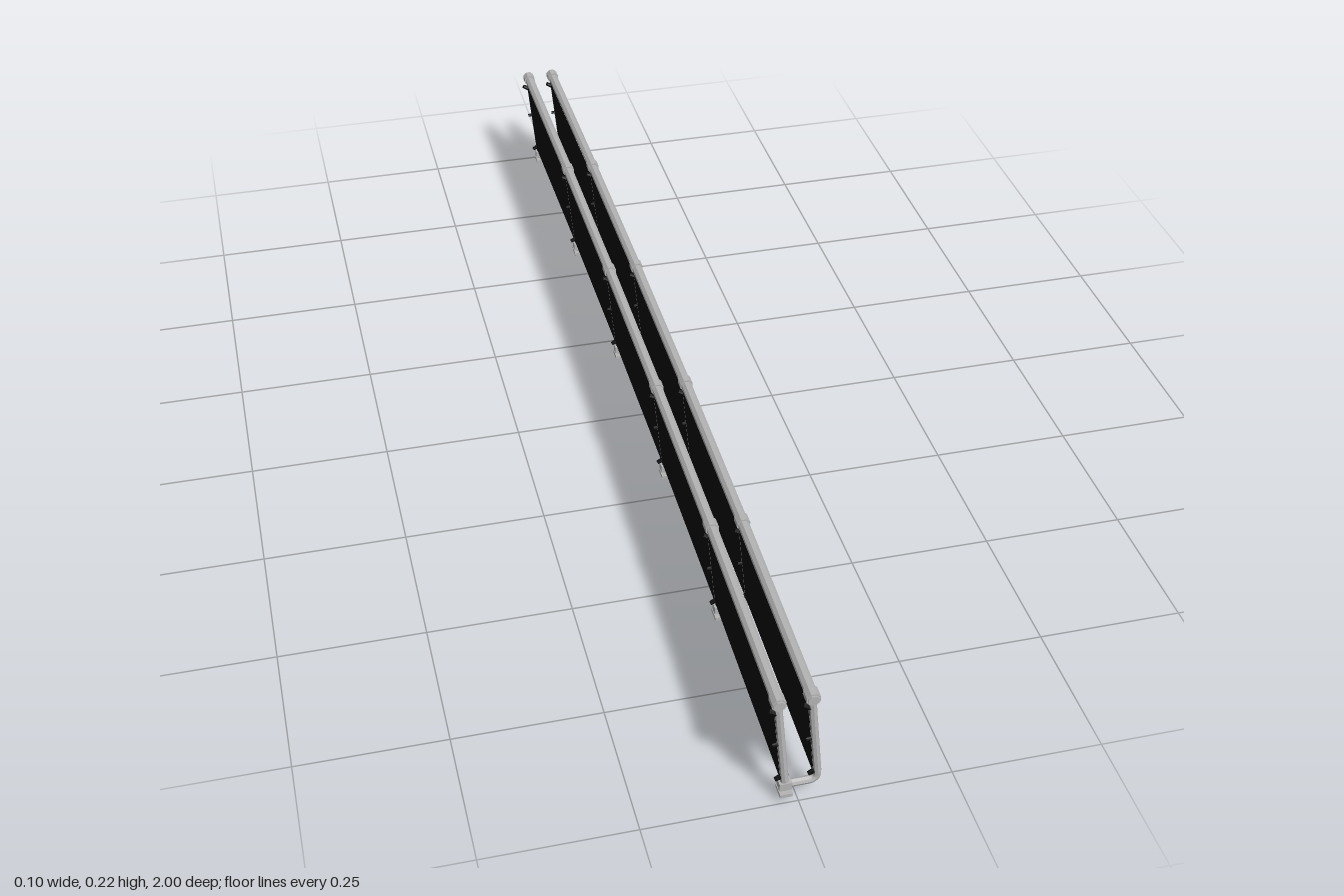
import * as THREE from 'three';

const steel = new THREE.MeshStandardMaterial({ color: 0xb4b4b4, flatShading: true });
steel.name = 'brushed steel';
const dark = new THREE.MeshStandardMaterial({ color: 0x0a0a0a, side: THREE.DoubleSide, flatShading: true });
dark.name = 'black panel';

const STATIONS = [1, 0.59, 0.196, -0.196, -0.59, -1];
const RAIL_Y = 0.211;
const SIDES = { left: 0.015, right: -0.038 }; // x of each rail at the front end

// gentle sideways bow and the sloping floor line along the length
const bow = z => 0.002 * (1 - z) + 0.008 * (1 - z * z);
const floorY = z => 0.023 + 0.006 * z;
const postX = (side, y, z) => side + bow(z) + 0.1 * (RAIL_Y - y);

function add(group, name, geometry, material, x = 0, y = 0, z = 0) {
  const mesh = new THREE.Mesh(geometry, material);
  mesh.name = name;
  mesh.position.set(x, y, z);
  group.add(mesh);
  return mesh;
}

// octagonal bar lying along z
const octagon = (w, h, length, segments = 1) =>
  new THREE.CylinderGeometry(0.541, 0.541, length, 8, segments)
    .rotateY(Math.PI / 8).rotateX(Math.PI / 2).scale(w, h, 1);

// handrail bent so that it meets every post
function railGeometry(side) {
  const g = octagon(0.018, 0.017, 2, 5);
  const p = g.attributes.position;
  for (let i = 0; i < p.count; i++) {
    const z = STATIONS[Math.round((1 - p.getZ(i)) / 0.4)];
    p.setXYZ(i, p.getX(i) + side + bow(z), p.getY(i) + RAIL_Y, z);
  }
  g.computeVertexNormals();
  return g;
}

// thin infill sheet fixed to the -x face of the posts
function panelGeometry(side) {
  const g = new THREE.PlaneGeometry(2, 1, 5, 1);
  const p = g.attributes.position;
  for (let i = 0; i < p.count; i++) {
    const z = STATIONS[Math.round((p.getX(i) + 1) / 0.4)] * 0.99;
    const y = p.getY(i) > 0 ? 0.196 : floorY(z) + 0.013;
    p.setXYZ(i, postX(side, y, z) - 0.0065, y, z);
  }
  g.computeVertexNormals();
  return g;
}

// U-shaped bracket: two leaning posts, a bent lower arm and a foot
function bracket(z) {
  const group = new THREE.Group();
  group.name = 'postBracket';
  const base = floorY(z);
  const at = (side, y) => new THREE.Vector3(postX(side, y, z), y, z);
  const { left, right } = SIDES;
  const corner = at(left, base);
  const bendTop = at(left, base + 0.016);
  const bendEnd = corner.clone().setX(corner.x - 0.016);
  const foot = at(right, base);

  const path = new THREE.CurvePath();
  path.add(new THREE.LineCurve3(at(left, RAIL_Y), bendTop));
  path.add(new THREE.QuadraticBezierCurve3(bendTop, corner, bendEnd));
  path.add(new THREE.LineCurve3(bendEnd, foot));
  add(group, 'leftPostAndArm', new THREE.TubeGeometry(path, 36, 0.0068, 8), steel);

  const post = new THREE.LineCurve3(at(right, RAIL_Y), at(right, base - 0.005));
  add(group, 'rightPost', new THREE.TubeGeometry(post, 1, 0.0068, 8), steel);
  add(group, 'armSocket', new THREE.BoxGeometry(0.02, 0.014, 0.016), steel, foot.x, base, z);
  add(group, 'footStem', new THREE.CylinderGeometry(0.005, 0.005, 0.012, 8), steel, foot.x, base - 0.01, z);
  add(group, 'footPlate', new THREE.BoxGeometry(0.02, 0.006, 0.026), steel, foot.x, base - 0.014, z);

  for (const side of Object.values(SIDES)) {
    // collar around the handrail
    add(group, 'railCollar', octagon(0.022, 0.022, 0.02), steel, side + bow(z), RAIL_Y, z);
    // panel clips
    for (const [y, size, tilt] of [[0.19, 1.2, -0.5], [0.119, 0.8, 0.1], [base + 0.016, 1, 0.5]]) {
      const x = postX(side, y, z) - 0.009;
      const clip = add(group, 'panelClip', new THREE.CylinderGeometry(0.0035, 0.0045, 0.012, 8), dark, x, y, z);
      clip.rotation.z = Math.PI / 2 + tilt;
      clip.scale.setScalar(size);
    }
  }
  return group;
}

export function createModel() {
  const model = new THREE.Group();
  model.name = 'doubleRailing';
  for (const [name, side] of Object.entries(SIDES)) {
    add(model, name + 'Handrail', railGeometry(side), steel);
    add(model, name + 'Panel', panelGeometry(side), dark);
  }
  for (const z of STATIONS) model.add(bracket(z * 0.987));
  return model;
}
